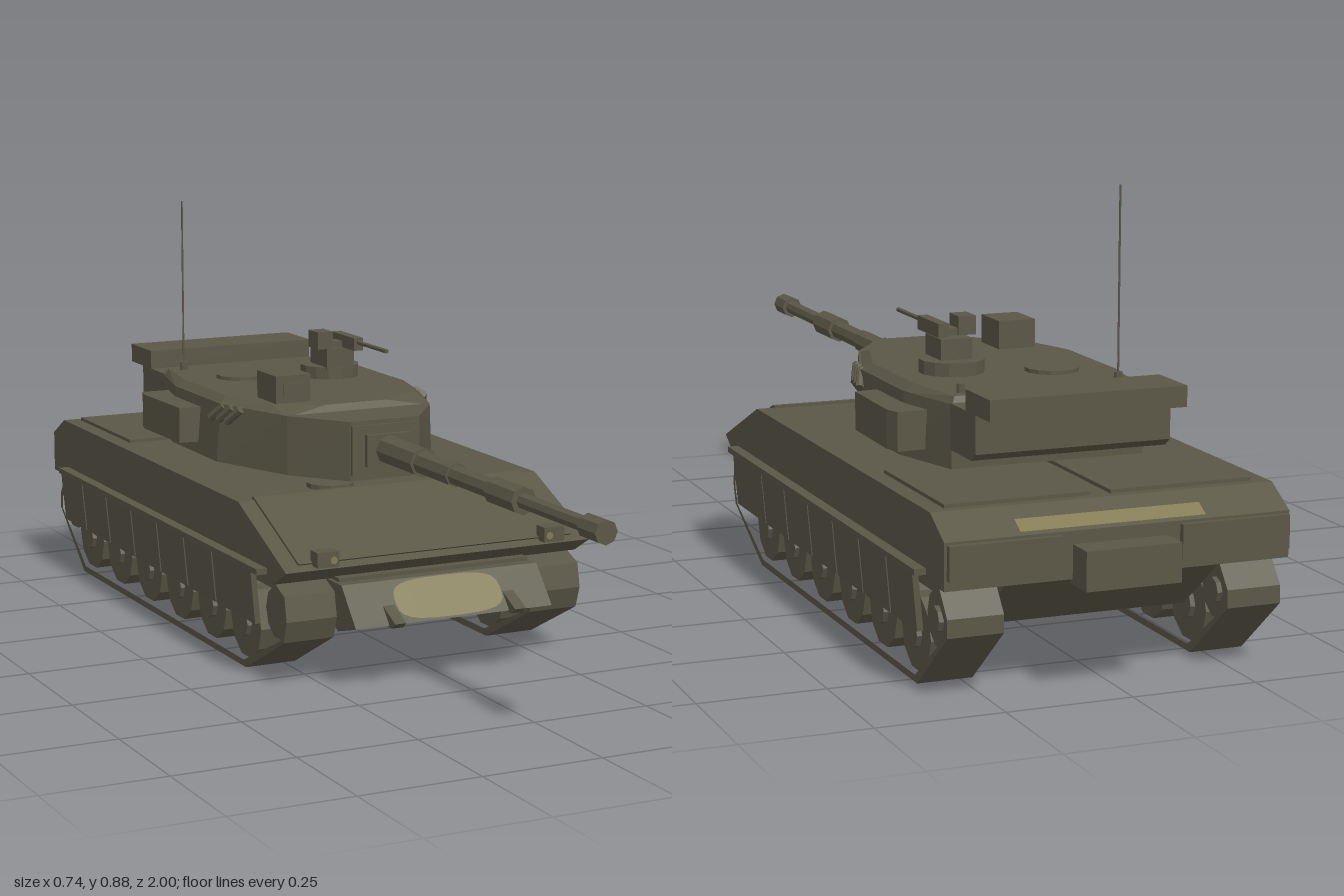
import * as THREE from 'three';
import { ConvexGeometry } from 'three/addons/geometries/ConvexGeometry.js';

export function createModel() {
  const model = new THREE.Group();
  const mat = (name, color, side = THREE.FrontSide) =>
    Object.assign(new THREE.MeshStandardMaterial({ color, side, flatShading: true }), { name });
  const olive = mat('olive', 0x5b5747);
  const sand = mat('sand', 0x837b54, THREE.DoubleSide);

  const add = (name, geo, x = 0, y = 0, z = 0, m = olive, parent = model) => {
    const mesh = new THREE.Mesh(geo, m);
    mesh.name = name;
    mesh.position.set(x, y, z);
    parent.add(mesh);
    return mesh;
  };
  // Box given by its minimum and maximum on each axis
  const box = (name, x0, x1, y0, y1, z0, z1, m = olive) =>
    add(name, new THREE.BoxGeometry(x1 - x0, y1 - y0, z1 - z0), (x0 + x1) / 2, (y0 + y1) / 2, (z0 + z1) / 2, m);
  // Side profile of [z, y] points extruded across x
  const prism = (name, pts, x0, x1, hole) => {
    const shape = new THREE.Shape(pts.map(([z, y]) => new THREE.Vector2(z, y)));
    if (hole) shape.holes.push(new THREE.Path(hole.map(([z, y]) => new THREE.Vector2(z, y))));
    const geo = new THREE.ExtrudeGeometry(shape, { depth: x1 - x0, bevelEnabled: false });
    return add(name, geo.rotateY(-Math.PI / 2), x1);
  };
  const disc = (name, r, y0, y1, x, z, sides = 14) =>
    add(name, new THREE.CylinderGeometry(r, r, y1 - y0, sides), x, (y0 + y1) / 2, z);
  const tubeZ = (name, r, z0, z1, x, y, sides = 8) =>
    add(name, new THREE.CylinderGeometry(r, r, z1 - z0, sides).rotateX(Math.PI / 2), x, y, (z0 + z1) / 2);

  // Hull
  prism('upperHull', [[0.37, 0.245], [0.14, 0.345], [-0.87, 0.345], [-0.94, 0.305], [-0.94, 0.215], [0.31, 0.21]], -0.345, 0.345);
  prism('lowerHull', [[0.34, 0.215], [0.34, 0.13], [0.22, 0.097], [-0.77, 0.097], [-0.92, 0.215]], -0.215, 0.215);
  prism('nosePlate', [[0.365, 0.207], [0.43, 0.132], [0.35, 0.11], [0.3, 0.13], [0.3, 0.207]], -0.222, 0.222);
  prism('glacisPanel', [[0.355, 0.257], [0.14, 0.351], [0.13, 0.351], [0.13, 0.335], [0.345, 0.25]], -0.31, 0.31);
  box('rearBox', -0.095, 0.095, 0.205, 0.28, -1, -0.93);
  disc('driverHatch', 0.05, 0.343, 0.355, -0.11, 0.08);

  // Painted recognition patches on the nose and the rear slope
  const patch = new THREE.Shape();
  patch.absellipse(0, 0, 0.12, 0.047, 0, Math.PI * 2);
  const blob = new THREE.ShapeGeometry(patch, 12);
  const p = blob.attributes.position;
  for (let i = 0; i < p.count; i++) {
    // square the ellipse off towards a rounded rectangle
    const u = p.getX(i) / 0.12, v = p.getY(i) / 0.047;
    p.setXY(i, 0.12 * Math.sign(u) * Math.abs(u) ** 0.6, 0.046 * Math.sign(v) * Math.abs(v) ** 0.6);
  }
  add('nosePatch', blob, 0, 0.171, 0.399, sand).rotation.x = -0.714;
  const rearPatch = add('rearPatch', new THREE.PlaneGeometry(0.37, 0.034), 0.01, 0.319, -0.919, sand);
  rearPatch.rotation.set(-Math.PI / 2 - 0.519, 0, 0);

  // Track outline, also shrunk for the hollow inside
  const outline = [[0.34, 0.19], [0.35, 0.14], [0.335, 0.095], [0.15, 0], [-0.78, 0], [-0.93, 0.125],
    [-0.93, 0.16], [-0.89, 0.21], [0.29, 0.21]];
  const inner = outline.map(([z, y]) => [-0.29 + (z + 0.29) * 0.978, 0.105 + (y - 0.105) * 0.87]);

  for (const s of [1, -1]) {
    const span = (a, b) => (s > 0 ? [a, b] : [-b, -a]);
    // Running gear
    prism('track', outline, ...span(0.225, 0.335), inner);
    const wheel = (name, r, y, z) =>
      add(name, new THREE.CylinderGeometry(r, r, 0.09, 10).rotateZ(Math.PI / 2), s * 0.28, y, z);
    for (let i = 0; i < 6; i++) {
      const z = 0.13 - i * 0.176;
      wheel('roadWheel', 0.075, 0.09, z);
      add('wheelHub', new THREE.CylinderGeometry(0.03, 0.03, 0.11, 8).rotateZ(Math.PI / 2), s * 0.28, 0.09, z);
    }
    wheel('idlerWheel', 0.055, 0.145, 0.285);
    wheel('driveSprocket', 0.058, 0.145, -0.865);
    add('sprocketHub', new THREE.CylinderGeometry(0.025, 0.025, 0.11, 8).rotateZ(Math.PI / 2), s * 0.28, 0.145, -0.865);

    // Side skirts, leaning in towards the bottom
    box('skirtRail', ...span(0.34, 0.368), 0.225, 0.237, -0.85, 0.28);
    const edges = [0.25, 0.05, -0.1, -0.25, -0.4, -0.55, -0.7, -0.84];
    for (let i = 0; i < 7; i++) {
      const len = edges[i] - edges[i + 1] - 0.006;
      const panel = add('skirtPanel', new THREE.BoxGeometry(0.012, 0.115, len), s * 0.356, 0.174, (edges[i] + edges[i + 1]) / 2);
      panel.rotation.z = -s * 0.09;
    }

    // Hull fittings
    box('deckPanel', ...span(0.02, 0.31), 0.343, 0.352, -0.85, -0.54);
    box('rearPlate', ...span(0.12, 0.34), 0.235, 0.3, -0.953, -0.935);
    box('headlight', ...span(0.233, 0.28), 0.25, 0.281, 0.345, 0.378);
    add('headlightLens', new THREE.CircleGeometry(0.008, 8), s * 0.245, 0.264, 0.38, sand);
    prism('towLug', [[0.37, 0.18], [0.455, 0.14], [0.44, 0.128], [0.38, 0.13]], ...span(0.123, 0.148));

    // Turret side stowage and smoke launchers
    const shape = [[0.2, -0.53], [0.28, -0.535], [0.29, -0.5], [0.285, -0.31], [0.2, -0.3]];
    add('turretStowage', new ConvexGeometry(shape.flatMap(([x, z]) =>
      [0.383, 0.46].map((y) => new THREE.Vector3(s * x, y, z)))));
    for (let i = 0; i < 3; i++) {
      const tube = add('smokeLauncher', new THREE.CylinderGeometry(0.009, 0.009, 0.05, 8), s * (0.238 - i * 0.006), 0.465, -0.21 + i * 0.03);
      tube.rotation.set(0.8, 0, s * 0.5, 'ZXY');
    }
    disc('antennaBase', 0.009, 0.485, 0.515, s * 0.165, -0.57, 8);
  }

  // Turret body and low roof
  const symmetric = (half, y) => half.flatMap(([x, z]) =>
    [new THREE.Vector3(x, y, z), new THREE.Vector3(-x, y, z)]);
  const plan = [[0.08, 0.115], [0.17, 0], [0.245, -0.2], [0.245, -0.45], [0.2, -0.61]];
  const topPlan = [[0.08, 0.115], [0.168, -0.005], [0.235, -0.2], [0.235, -0.45], [0.198, -0.61]];
  const roofPlan = [[0.07, -0.02], [0.17, -0.08], [0.215, -0.22], [0.215, -0.45], [0.19, -0.6]];
  disc('turretRing', 0.205, 0.34, 0.365, 0, -0.32, 24);
  add('turretBody', new ConvexGeometry([...symmetric(plan, 0.358), ...symmetric(topPlan, 0.483)]));
  add('turretRoof', new ConvexGeometry([...symmetric(topPlan.slice(1), 0.48), ...symmetric(roofPlan, 0.497)]));

  // Rear bustle and raised rack
  prism('bustle', [[-0.6, 0.485], [-0.73, 0.485], [-0.73, 0.41], [-0.71, 0.395], [-0.6, 0.395]], -0.2, 0.2);
  box('bustleRack', -0.2, 0.2, 0.485, 0.526, -0.8, -0.68);

  // Mantlet and stepped gun barrel
  box('mantlet', -0.078, 0.078, 0.37, 0.474, 0.05, 0.122);
  box('mantletCollar', -0.05, 0.05, 0.388, 0.455, 0.1, 0.135);
  for (const [r, a, b] of [[0.031, 0.12, 0.29], [0.025, 0.29, 0.43], [0.021, 0.43, 0.59],
    [0.028, 0.59, 0.7], [0.016, 0.7, 0.94], [0.024, 0.935, 1]]) {
    tubeZ('gunBarrel', r, a, b, 0, 0.422);
  }

  // Roof fittings
  box('sight', -0.163, -0.082, 0.49, 0.556, -0.168, -0.072);
  box('sightWindow', -0.147, -0.098, 0.513, 0.54, -0.074, -0.068);
  disc('loaderHatch', 0.055, 0.49, 0.505, -0.09, -0.42);
  disc('commanderCupola', 0.066, 0.49, 0.524, 0.1, -0.36);
  box('gunMount', 0.066, 0.132, 0.52, 0.566, -0.385, -0.3);
  box('ammoBox', 0.044, 0.081, 0.566, 0.604, -0.35, -0.3);
  box('ammoFeed', 0.07, 0.12, 0.566, 0.58, -0.345, -0.31);
  box('machineGun', 0.108, 0.13, 0.566, 0.594, -0.365, -0.25);
  tubeZ('machineGunBarrel', 0.005, -0.25, -0.112, 0.119, 0.584, 6);
  disc('antenna', 0.002, 0.51, 0.88, -0.165, -0.57, 6);

  return model;
}
